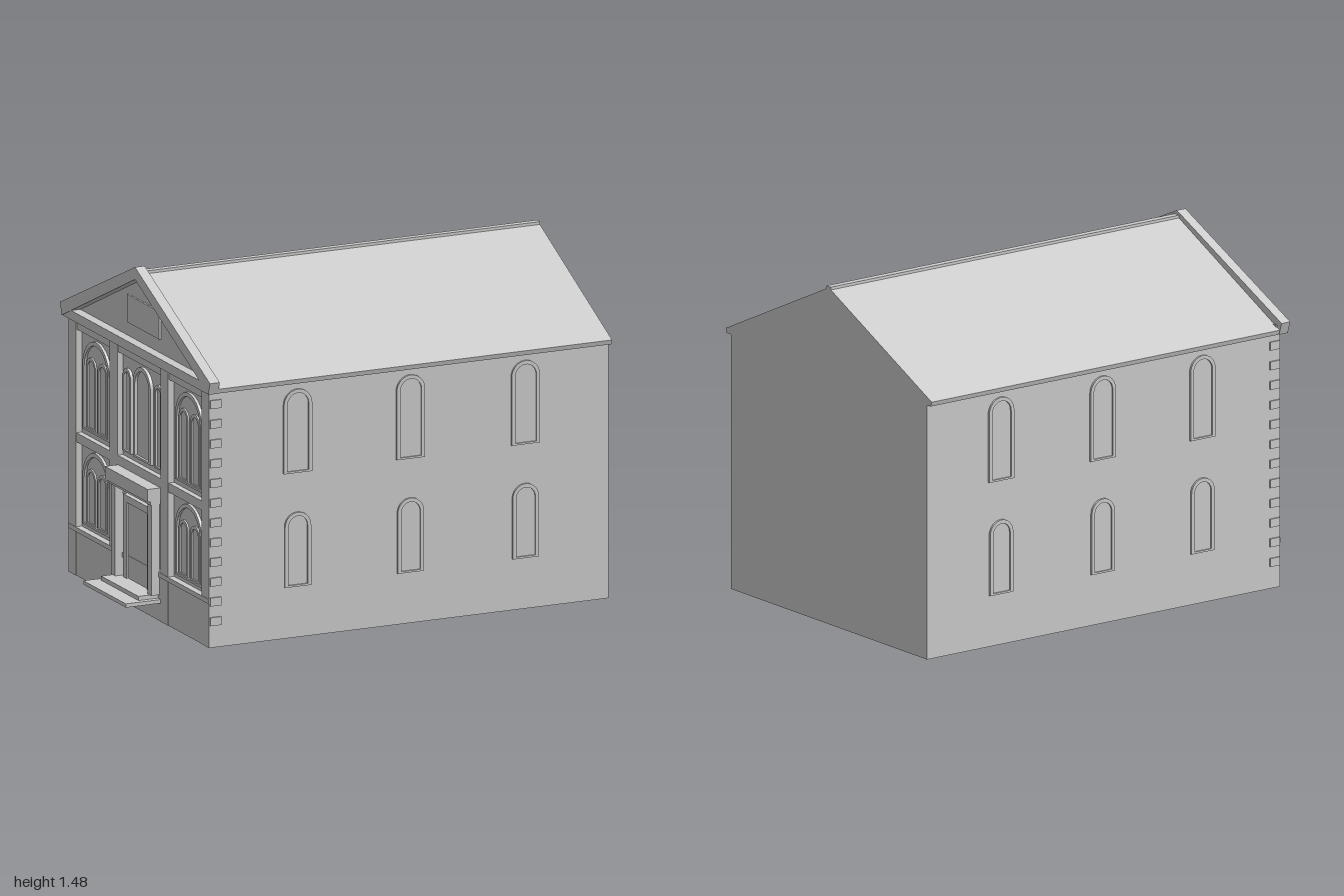
import * as THREE from 'three';

const stone = new THREE.MeshStandardMaterial({ color: 0xcccccc });
stone.name = 'pale grey stone';

function add(parent, name, geometry) {
  const mesh = new THREE.Mesh(geometry, stone);
  mesh.name = name;
  parent.add(mesh);
  return mesh;
}

// Box given by its minimum and maximum on each axis
function box(parent, name, x0, x1, y0, y1, z0, z1) {
  const g = new THREE.BoxGeometry(x1 - x0, y1 - y0, z1 - z0);
  g.translate((x0 + x1) / 2, (y0 + y1) / 2, (z0 + z1) / 2);
  return add(parent, name, g);
}

// Profile in (z, y) swept along x from x0 to x1
function sweep(parent, name, points, x0, x1) {
  const shape = new THREE.Shape(points.map(([z, y]) => new THREE.Vector2(z, y)));
  const g = new THREE.ExtrudeGeometry(shape, { depth: x1 - x0, bevelEnabled: false });
  g.rotateY(-Math.PI / 2).translate(x1, 0, 0);
  return add(parent, name, g);
}

// Round-headed outline, bottom centre at (cx, y0)
function trace(path, cx, y0, w, h) {
  const r = w / 2;
  path.moveTo(cx - r, y0);
  path.lineTo(cx + r, y0);
  path.lineTo(cx + r, y0 + h - r);
  path.absarc(cx, y0 + h - r, r, 0, Math.PI, false);
  path.lineTo(cx - r, y0);
  return path;
}

// Arched window on a wall plane at local z: raised frame, thin pane and sill
function archWindow(parent, name, cx, y0, w, h, z, t, out) {
  const group = new THREE.Group();
  group.name = name;
  const frame = trace(new THREE.Shape(), cx, y0, w, h);
  frame.holes.push(trace(new THREE.Path(), cx, y0 + t * 0.5, w - 2 * t, h - t * 1.5));
  const opts = { depth: out, bevelEnabled: false, curveSegments: 10 };
  add(group, 'windowFrame', new THREE.ExtrudeGeometry(frame, opts)).position.z = z;
  const pane = new THREE.ShapeGeometry(trace(new THREE.Shape(), cx, y0, w - t, h - t / 2), 10);
  add(group, 'windowPane', pane).position.z = z + 0.002;
  parent.add(group);
}

export function createModel() {
  const house = new THREE.Group();
  house.name = 'gabledHall';

  // Main walls and roof
  sweep(house, 'walls', [[-0.675, 0], [0.675, 0], [0.675, 1.11], [0, 1.43], [-0.675, 1.11]], -0.815, 0.999);
  sweep(house, 'roof', [[-0.703, 1.1], [0.703, 1.1], [0.709, 1.12], [0, 1.455], [-0.709, 1.12]], -0.815, 1);
  box(house, 'ridgeCap', -0.815, 1, 1.443, 1.46, -0.015, 0.015);

  // Side windows and corner blocks, same on both long walls
  for (const s of [1, -1]) {
    const side = new THREE.Group();
    side.name = s > 0 ? 'frontWallDetails' : 'backWallDetails';
    side.rotation.y = s > 0 ? 0 : Math.PI;
    for (const x of [-0.435, 0.085, 0.615]) {
      archWindow(side, 'upperWindow', x * s, 0.71, 0.13, 0.36, 0.675, 0.016, 0.009);
      archWindow(side, 'lowerWindow', x * s, 0.22, 0.12, 0.32, 0.675, 0.016, 0.009);
    }
    house.add(side);
    for (let i = 0; i < 12; i++) {
      const y = 0.095 + i * 0.085;
      const z = s * 0.676;
      box(house, 'cornerBlock', -0.838, -0.788, y, y + 0.036, z - 0.006, z + 0.006);
    }
  }

  // Gable end: plinth, pilasters, string course and cornice
  box(house, 'plinth', -0.84, -0.81, 0, 0.19, -0.675, 0.675);
  box(house, 'plinthCap', -0.845, -0.81, 0.19, 0.21, -0.675, 0.675);
  box(house, 'stringCourse', -0.84, -0.81, 0.575, 0.615, -0.675, 0.675);
  box(house, 'frieze', -0.838, -0.81, 1.06, 1.1, -0.675, 0.675);
  box(house, 'cornice', -0.858, -0.81, 1.1, 1.14, -0.69, 0.69);
  for (const s of [1, -1]) {
    for (const [z, w] of [[0.64, 0.07], [0.245, 0.075]]) {
      box(house, 'pilaster', -0.842, -0.81, 0, 1.1, s * z - w / 2, s * z + w / 2);
    }
  }

  // Pediment with raking cornice and central panel
  sweep(house, 'rakingCornice', [
    [0.722, 1.152], [0, 1.478], [-0.722, 1.152], [-0.705, 1.1], [0, 1.425], [0.705, 1.1],
  ], -0.86, -0.815);
  box(house, 'pedimentPanel', -0.823, -0.81, 1.2, 1.32, -0.155, 0.155);

  // Gable end windows, drawn facing -x
  const facade = new THREE.Group();
  facade.name = 'entranceWallWindows';
  facade.rotation.y = -Math.PI / 2;
  for (const s of [1, -1]) {
    for (const [y, h] of [[0.23, 0.33], [0.64, 0.4]]) {
      archWindow(facade, 'bayArch', s * 0.445, y, 0.26, h, 0.815, 0.018, 0.012);
      for (const d of [-0.055, 0.055]) {
        archWindow(facade, 'bayWindow', s * 0.445 + d, y + 0.01, 0.09, h - 0.09, 0.816, 0.014, 0.008);
      }
    }
    archWindow(facade, 'narrowWindow', s * 0.15, 0.64, 0.075, 0.36, 0.815, 0.014, 0.012);
  }
  archWindow(facade, 'middleWindow', 0, 0.64, 0.17, 0.4, 0.815, 0.018, 0.014);
  house.add(facade);

  // Door and its surround
  box(house, 'doorLeaf', -0.843, -0.81, 0.11, 0.44, -0.1, 0.1);
  for (const s of [1, -1]) {
    box(house, 'doorJamb', -0.852, -0.81, 0.11, 0.46, s * 0.115 - 0.015, s * 0.115 + 0.015);
  }
  box(house, 'doorLintel', -0.852, -0.81, 0.44, 0.47, -0.13, 0.13);

  // Porch: two steps, square posts and canopy
  box(house, 'lowerStep', -1, -0.835, 0.078, 0.094, -0.205, 0.205);
  box(house, 'upperStep', -0.93, -0.835, 0.094, 0.112, -0.18, 0.18);
  for (const s of [1, -1]) {
    box(house, 'porchPost', -0.877, -0.84, 0.112, 0.505, s * 0.175 - 0.02, s * 0.175 + 0.02);
  }
  box(house, 'canopyMoulding', -0.885, -0.815, 0.503, 0.52, -0.2, 0.2);
  box(house, 'canopy', -0.9, -0.815, 0.52, 0.575, -0.205, 0.205);

  return house;
}
